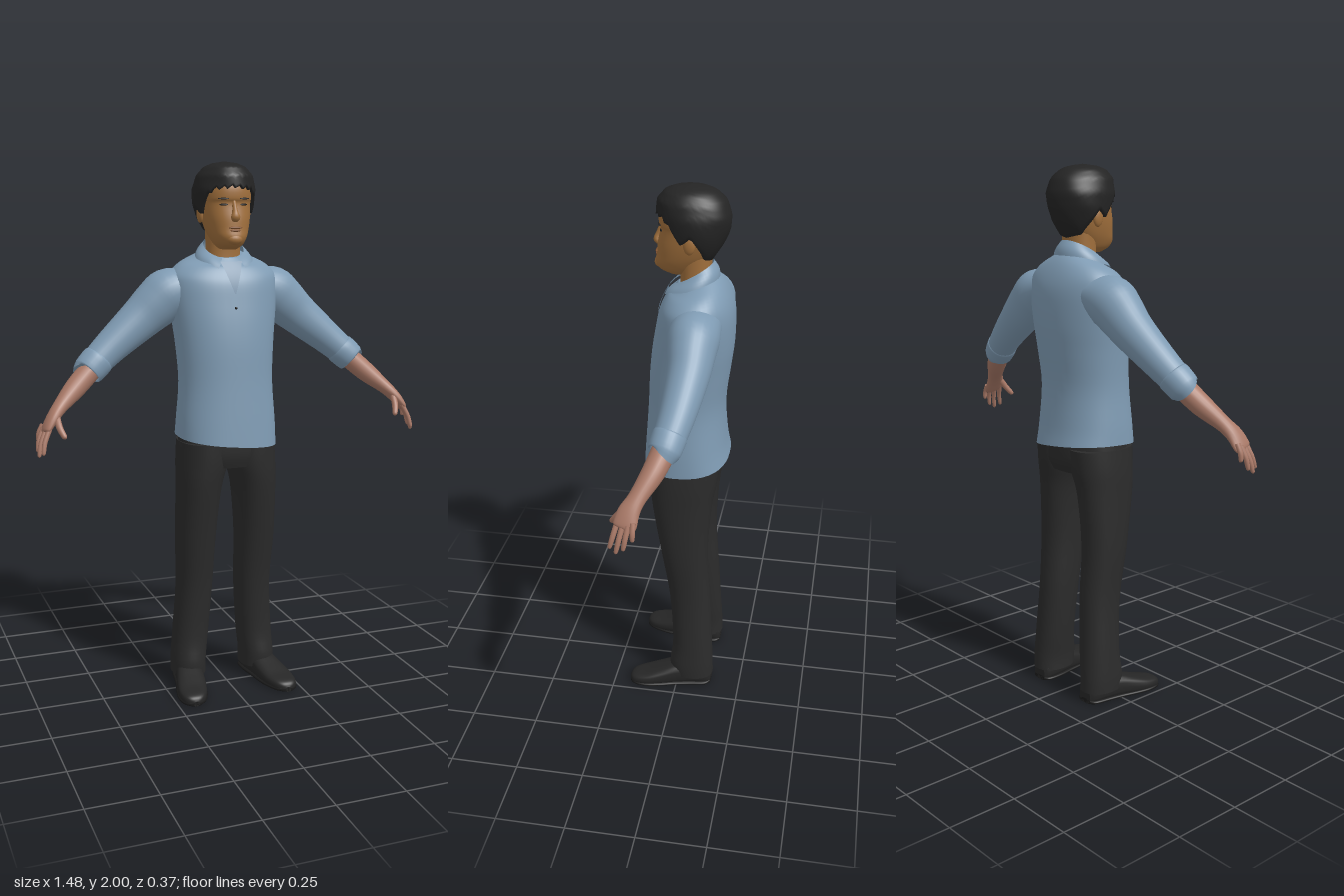
import * as THREE from 'three';

const mat = (name, color, side = THREE.FrontSide) => {
  const m = new THREE.MeshStandardMaterial({ color, side });
  m.name = name;
  return m;
};
const V = (x, y, z) => new THREE.Vector3(x, y, z);

// Catmull-Rom resampling of a table of section rows, k steps per span
function smooth(rows, k = 4) {
  const out = [], last = rows.length - 1;
  for (let i = 0; i < last; i++) for (let s = 0; s < k; s++) {
    const t = s / k, a = rows[Math.max(i - 1, 0)], b = rows[i], c = rows[i + 1], d = rows[Math.min(i + 2, last)];
    out.push(b.map((q, j) => 0.5 * (2 * q + (c[j] - a[j]) * t + (2 * a[j] - 5 * q + 4 * c[j] - d[j]) * t * t
      + (3 * q - a[j] - 3 * c[j] + d[j]) * t * t * t)));
  }
  out.push(rows[last]);
  return out;
}

// linear lookup in a table whose first column is y
function lookup(rows, y) {
  const up = rows[0][0] < rows[rows.length - 1][0];
  const r = up ? rows : [...rows].reverse();
  let i = 0;
  while (i < r.length - 2 && r[i + 1][0] < y) i++;
  const t = THREE.MathUtils.clamp((y - r[i][0]) / (r[i + 1][0] - r[i][0]), 0, 1);
  return r[i].map((q, j) => q + (r[i + 1][j] - q) * t);
}

// skin over rows of points; closed rows wrap round, caps fill both ends
function skin(rows, closed = true, caps = true) {
  const n = rows[0].length, pos = [], idx = [];
  rows.forEach(r => r.forEach(p => pos.push(p.x, p.y, p.z)));
  const cols = closed ? n : n - 1;
  for (let i = 0; i < rows.length - 1; i++) for (let j = 0; j < cols; j++) {
    const a = i * n + j, b = i * n + (j + 1) % n;
    idx.push(a, b, a + n, b, b + n, a + n);
  }
  if (caps) [rows[0], rows[rows.length - 1]].forEach((r, end) => {
    const base = pos.length / 3, c = V(0, 0, 0);
    r.forEach(p => { pos.push(p.x, p.y, p.z); c.addScaledVector(p, 1 / n); });
    pos.push(c.x, c.y, c.z);
    for (let j = 0; j < n; j++) {
      const a = base + j, b = base + (j + 1) % n;
      end ? idx.push(base + n, a, b) : idx.push(base + n, b, a);
    }
  });
  const g = new THREE.BufferGeometry();
  g.setAttribute('position', new THREE.Float32BufferAttribute(pos, 3));
  g.setIndex(idx);
  g.computeVertexNormals();
  return g;
}

// superellipse ring around c with half-axes u and v
function ring(c, u, v, n = 2, seg = 28) {
  const f = q => Math.sign(q) * Math.abs(q) ** (2 / n);
  return Array.from({ length: seg }, (_, j) => {
    const a = j / seg * Math.PI * 2;
    return c.clone().addScaledVector(u, f(Math.cos(a))).addScaledVector(v, f(Math.sin(a)));
  });
}

// upright body: rows of [y, centreX, radiusX, frontZ, backZ, exponent, tiltZ, tiltX]
const upright = (rows, seg = 32) => skin(rows.map(([y, cx, rx, f, b, n = 2.2, tz = 0, tx = 0]) => {
  const rz = (f - b) / 2;
  return ring(V(cx, y, (f + b) / 2), V(0, -tz * rz, rz), V(rx, tx * rx, 0), n, seg);
}));

// limb: rows of [x, y, z, thickness, depth], sections square to the path
function limb(rows, s = 1, seg = 20, k = 4) {
  const R = smooth(rows, k), p = R.map(r => V(r[0] * s, r[1], r[2]));
  return skin(R.map((r, i) => {
    const t = p[Math.min(i + 1, p.length - 1)].clone().sub(p[Math.max(i - 1, 0)]).normalize();
    const v = V(0, 0, 1).addScaledVector(t, -t.z).normalize();
    const u = v.clone().cross(t);
    return ring(p[i], u.multiplyScalar(r[3]), v.multiplyScalar(r[4]), 2, seg);
  }));
}

const TORSO = smooth([
  [0.98, 0, 0.19, 0.143, -0.175, 2.4, 0.05, -0.1], [1.06, 0, 0.187, 0.137, -0.163, 2.3, 0, -0.05],
  [1.2, 0, 0.178, 0.127, -0.155, 2.2, 0, 0], [1.33, 0, 0.185, 0.12, -0.17, 2.2, 0, 0],
  [1.42, 0, 0.195, 0.11, -0.181, 2.2, 0, 0], [1.5, 0, 0.205, 0.096, -0.184, 2.2, 0, 0],
  [1.56, 0, 0.208, 0.084, -0.181, 2.2, 0, 0], [1.6, 0, 0.2, 0.07, -0.17, 2.2, 0.05, 0],
  [1.635, 0, 0.165, 0.052, -0.152, 2.1, 0.12, 0], [1.657, 0, 0.115, 0.036, -0.13, 2, 0.25, 0],
  [1.675, 0, 0.075, 0.02, -0.11, 2, 0.3, 0]]);
const HEAD = smooth([
  [1.688, 0, 0.03, 0.055, -0.03, 2, 0, 0], [1.705, 0, 0.05, 0.088, -0.06, 2.1, 0, 0],
  [1.73, 0, 0.064, 0.1, -0.08, 2.2, 0, 0], [1.76, 0, 0.075, 0.094, -0.1, 2.3, 0, 0],
  [1.8, 0, 0.084, 0.09, -0.12, 2.3, 0, 0], [1.85, 0, 0.09, 0.08, -0.135, 2.3, 0, 0],
  [1.87, 0, 0.092, 0.086, -0.138, 2.3, 0, 0], [1.91, 0, 0.092, 0.083, -0.14, 2.2, 0, 0],
  [1.95, 0, 0.08, 0.06, -0.125, 2.1, 0, 0], [1.98, 0, 0.045, 0.02, -0.08, 2, 0, 0]]);
// front surface depth of an upright body at (x, y)
function frontZ(rows, x, y) {
  const [, , rx, f, b, n] = lookup(rows, y), q = Math.min(Math.abs(x) / rx, 1);
  return (f + b) / 2 + (f - b) / 2 * (1 - q ** n) ** (1 / n);
}

// hair cap with a hairline that varies round the head
function hairCap() {
  const prof = [[1.74, 0.075, 0.05, -0.1], [1.8, 0.1, 0.08, -0.14], [1.85, 0.112, 0.09, -0.16],
    [1.9, 0.115, 0.096, -0.166], [1.95, 0.101, 0.092, -0.148], [1.98, 0.075, 0.066, -0.115],
    [1.993, 0.045, 0.033, -0.082], [2, 0, -0.025, -0.025]];
  const line = [[0, 1.905], [0.7, 1.895], [1.05, 1.86], [1.3, 1.815], [1.45, 1.825], [1.6, 1.845],
    [1.9, 1.8], [2.3, 1.755], [3.15, 1.742]];
  const N = 72, rows = [];
  for (let i = -1; i <= 18; i++) {
    const t = 1 - Math.max(i, 0) / 18, shrink = i < 0 ? 0.82 : 1;
    rows.push(Array.from({ length: N }, (_, j) => {
      const a = j / N * Math.PI * 2, m = Math.min(a, Math.PI * 2 - a);
      const edge = lookup(line, m)[1] + (m < 1 ? (j % 3) * 0.006 : 0);
      const y = 2 - (2 - edge) * t ** 1.8, [, rx, f, b] = lookup(prof, y);
      const lump = shrink * (1 + 0.012 * Math.sin(5 * a + y * 40) * t);
      return V(rx * Math.sin(a) * lump, y, (f + b) / 2 + (f - b) / 2 * Math.cos(a) * lump);
    }));
  }
  return skin(rows, true, false);
}

// folded collar, open at the throat
function collar() {
  const rows = [];
  for (let i = 0; i <= 6; i++) {
    const t = i / 6, a0 = 0.5 - 0.12 * t, row = [];
    for (let j = 0; j <= 40; j++) {
      const a = a0 + (Math.PI * 2 - 2 * a0) * j / 40, c = Math.cos(a), k = (1 - c) / 2;
      const tip = Math.max(0, c - 0.7) * 0.07;
      const low = 1.63 + 0.05 * k - tip, high = 1.655 + 0.08 * k;
      const bulge = 0.006 * Math.sin(Math.PI * t), rz = (c > 0 ? 0.11 : 0.092) * (1 - t) + 0.07 * t + bulge;
      row.push(V((0.108 - 0.033 * t + bulge) * Math.sin(a), low + (high - low) * t, -0.035 + rz * c));
    }
    rows.push(row);
  }
  return skin(rows, false, false);
}

// V-shaped neck insert lying on the chest
function neckInsert() {
  return skin(Array.from({ length: 9 }, (_, i) => {
    const y = 1.53 + 0.115 * i / 8, w = 0.002 + 0.04 * i / 8;
    return [-1, -0.5, 0, 0.5, 1].map(q => V(q * w, y, frontZ(TORSO, q * w, y) + 0.005));
  }), false, false);
}

// shoe: rows of [z, centreX, halfWidth, height]
const shoeForm = (rows, s, grow, cap) => skin(smooth(rows).map(([z, x, w, h]) => {
  const top = Math.min(h, cap);
  return ring(V(x * s, top / 2, z), V(w * grow, 0, 0), V(0, top / 2, 0), 2.8, 24);
}));

export function createModel() {
  const g = new THREE.Group();
  g.name = 'standingMan';
  const shirt = mat('shirt blue', 0x7f9bb3), cloth = mat('shirt blue open', 0x7f9bb3, THREE.DoubleSide);
  const inner = mat('undershirt blue', 0x718da6, THREE.DoubleSide), face = mat('face skin', 0xa06f3c);
  const skinTone = mat('arm skin', 0xa97967), hair = mat('hair black', 0x242424, THREE.DoubleSide);
  const trousers = mat('trouser charcoal', 0x2b2b2b), shoe = mat('shoe black', 0x262626);
  const sole = mat('sole black', 0x1b1b1b), lip = mat('lip brown', 0x83532f);
  const add = (name, geo, m) => {
    const o = new THREE.Mesh(geo, m);
    o.name = name;
    g.add(o);
    return o;
  };
  const blob = (name, m, x, y, z, a, b, c) => {
    const o = add(name, new THREE.SphereGeometry(1, 16, 10), m);
    o.position.set(x, y, z);
    o.scale.set(a, b, c);
    return o;
  };

  // shirt body
  add('shirtBody', upright(TORSO, 40), shirt);
  add('collar', collar(), cloth);
  add('neckInsert', neckInsert(), inner);
  blob('button', sole, 0, 1.48, frontZ(TORSO, 0, 1.48), 0.005, 0.005, 0.004);

  // head
  add('neck', upright(smooth([[1.6, 0, 0.07, 0.015, -0.105], [1.68, 0, 0.064, 0.012, -0.098], [1.77, 0, 0.066, 0.02, -0.1]])), face);
  add('head', upright(HEAD, 40), face);
  add('nose', limb([[0, 1.862, 0.074, 0.007, 0.008], [0, 1.825, 0.087, 0.01, 0.011],
    [0, 1.803, 0.094, 0.017, 0.013], [0, 1.79, 0.087, 0.012, 0.007]]), face);
  add('hair', hairCap(), hair);
  blob('upperLip', lip, 0, 1.766, 0.093, 0.026, 0.005, 0.006);
  blob('lowerLip', lip, 0, 1.756, 0.093, 0.02, 0.005, 0.006);
  blob('chin', face, 0, 1.725, 0.085, 0.03, 0.02, 0.019);

  // pelvis joining the trouser legs
  add('trouserSeat', upright(smooth([[0.885, 0, 0.16, 0.095, -0.13], [0.93, 0, 0.183, 0.108, -0.146], [1.0, 0, 0.18, 0.11, -0.145]])), trousers);

  const SHOE = [[-0.135, 0.138, 0.03, 0.05], [-0.115, 0.139, 0.047, 0.08], [-0.06, 0.144, 0.052, 0.095],
    [0, 0.155, 0.053, 0.09], [0.06, 0.167, 0.057, 0.07], [0.115, 0.178, 0.056, 0.052],
    [0.16, 0.185, 0.044, 0.042], [0.18, 0.187, 0.027, 0.033], [0.187, 0.187, 0.01, 0.02]];
  const FINGERS = [
    ['index', [0.692, 1.082, 0.1], [0.722, 0.995, 0.123]], ['middle', [0.702, 1.076, 0.081], [0.733, 0.984, 0.1]],
    ['ring', [0.707, 1.08, 0.061], [0.733, 0.998, 0.075]], ['little', [0.706, 1.09, 0.045], [0.725, 1.03, 0.045]],
    ['thumb', [0.662, 1.125, 0.075], [0.645, 1.05, 0.133]]];

  for (const s of [1, -1]) {
    const side = s > 0 ? 'left' : 'right';
    // face pairs
    blob(side + 'Ear', face, s * 0.091, 1.815, -0.032, 0.012, 0.034, 0.021);
    const eye = blob(side + 'Eye', sole, s * 0.038, 1.847, frontZ(HEAD, 0.038, 1.847), 0.016, 0.0035, 0.004);
    const brow = blob(side + 'Brow', hair, s * 0.04, 1.868, frontZ(HEAD, 0.04, 1.868), 0.021, 0.003, 0.004);
    eye.rotation.y = brow.rotation.y = s * 0.3;

    // sleeve and rolled cuff
    add(side + 'Sleeve', limb([[0.13, 1.55, -0.068, 0.07, 0.085], [0.2, 1.527, -0.067, 0.094, 0.09],
      [0.25, 1.49, -0.067, 0.09, 0.083], [0.315, 1.435, -0.066, 0.078, 0.073],
      [0.425, 1.346, -0.05, 0.063, 0.062], [0.505, 1.277, -0.03, 0.054, 0.054]], s, 28), shirt);
    add(side + 'Cuff', limb([[0.478, 1.302, -0.037, 0.053, 0.053], [0.484, 1.296, -0.035, 0.06, 0.059],
      [0.522, 1.261, -0.024, 0.057, 0.056], [0.527, 1.256, -0.022, 0.05, 0.049]], s, 28, 3), shirt);

    // forearm and palm, then fingers
    add(side + 'Forearm', limb([[0.5, 1.277, -0.03, 0.04, 0.043], [0.575, 1.208, 0.003, 0.038, 0.039],
      [0.642, 1.148, 0.043, 0.026, 0.031], [0.675, 1.112, 0.065, 0.021, 0.037],
      [0.7, 1.076, 0.074, 0.015, 0.04], [0.706, 1.066, 0.077, 0.009, 0.032]], s), skinTone);
    for (const [name, a, b] of FINGERS) {
      const r = name === 'thumb' ? 0.0125 : 0.0095, mid = a.map((q, i) => (q + b[i]) / 2);
      mid[0] += 0.005;
      const tip = b.map((q, i) => q + (b[i] - a[i]) * -0.08);
      add(`${side}${name[0].toUpperCase()}${name.slice(1)}Finger`,
        limb([[...a, r, r], [...mid, r * 0.95, r * 0.95], [...tip, r * 0.75, r * 0.75], [...b, 0.002, 0.002]], s, 10), skinTone);
    }

    // trouser leg
    add(side + 'TrouserLeg', upright(smooth([
      [0.045, 0.142, 0.066, 0.025, -0.142], [0.1, 0.142, 0.066, 0.03, -0.14], [0.2, 0.133, 0.068, 0.02, -0.135],
      [0.4, 0.12, 0.069, 0.034, -0.124], [0.6, 0.12, 0.075, 0.066, -0.112], [0.8, 0.11, 0.082, 0.1, -0.124],
      [0.9, 0.096, 0.094, 0.11, -0.14], [0.98, 0.094, 0.09, 0.112, -0.148]].map(r => [r[0], r[1] * s, ...r.slice(2), 2.2]))), trousers);

    // shoe with sole
    add(side + 'Shoe', shoeForm(SHOE, s, 1, 1), shoe);
    add(side + 'Sole', shoeForm(SHOE, s, 1.05, 0.018), sole);
  }
  return g;
}
